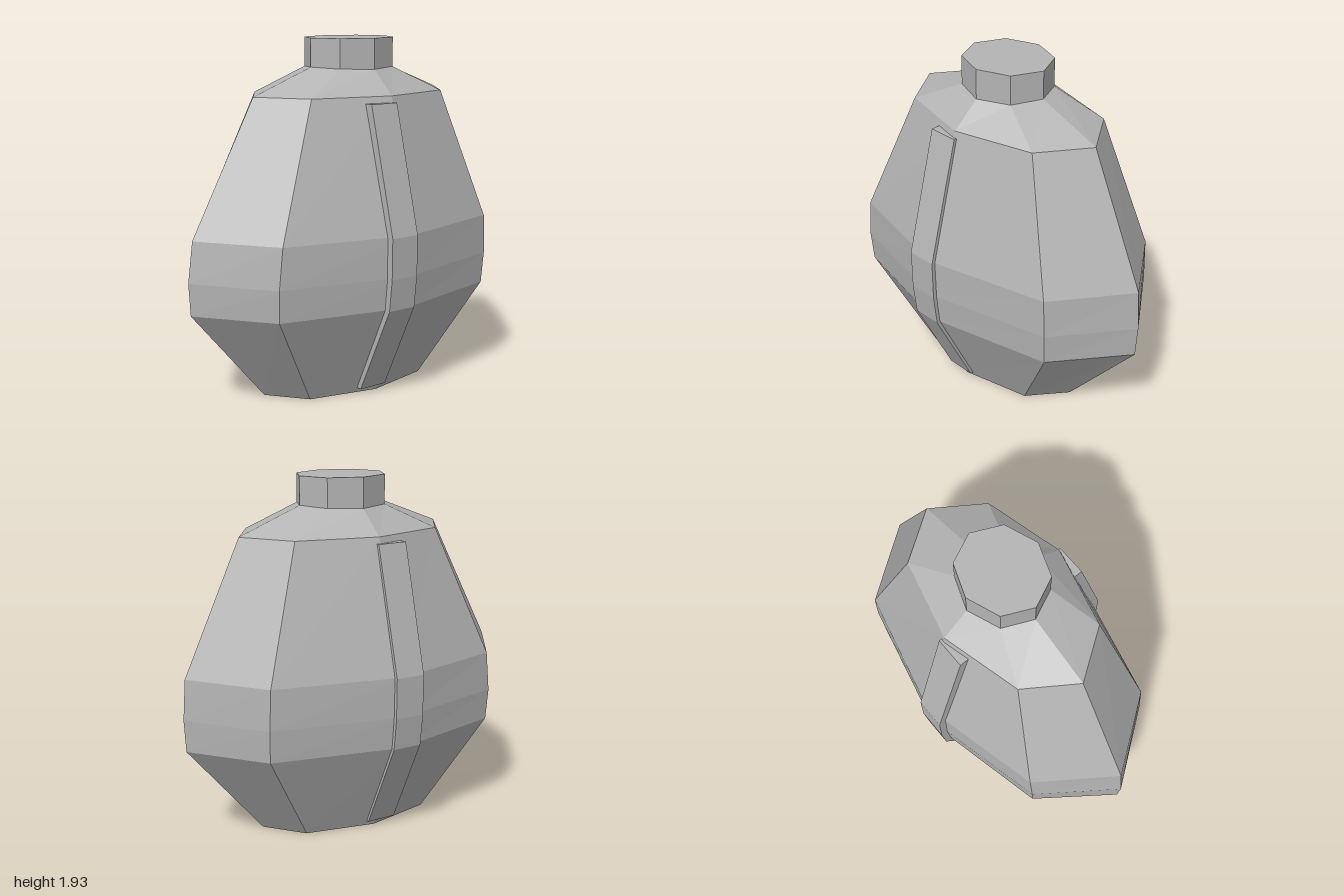
import * as THREE from 'three';

const SIDES = 8;

// Closed faceted solid from octagonal rings: [y, centreX, radiusX, radiusZ, dip at front and back]
function loft(rings) {
  const pos = [];
  const point = ([y, cx, rx, rz, dip = 0], i) => {
    const a = (i % SIDES) * Math.PI * 2 / SIDES;
    return [cx + rx * Math.sin(a), y - dip * Math.cos(a) ** 2, rz * Math.cos(a)];
  };
  const tri = (...pts) => pts.forEach((p) => pos.push(...p));
  const first = rings[0], last = rings[rings.length - 1];
  for (let i = 0; i < SIDES; i++) {
    for (let r = 0; r < rings.length - 1; r++) {
      const a = point(rings[r], i), b = point(rings[r], i + 1);
      const c = point(rings[r + 1], i + 1), d = point(rings[r + 1], i);
      tri(a, b, c);
      tri(a, c, d);
    }
    tri([first[1], first[0], 0], point(first, i + 1), point(first, i));
    tri([last[1], last[0], 0], point(last, i), point(last, i + 1));
  }
  const geo = new THREE.BufferGeometry();
  geo.setAttribute('position', new THREE.Float32BufferAttribute(pos, 3));
  geo.computeVertexNormals();
  return geo;
}

export function createModel() {
  const grey = new THREE.MeshStandardMaterial({ color: 0xb4b4b4, flatShading: true });
  grey.name = 'plain grey';
  const group = new THREE.Group();
  group.name = 'flask';

  const add = (name, geo) => {
    const mesh = new THREE.Mesh(geo, grey);
    mesh.name = name;
    group.add(mesh);
    return mesh;
  };

  // Flattened vessel with a slightly off-centre shoulder
  add('body', loft([
    [0, 0, 0.545, 0.295],
    [0.525, 0, 0.99, 0.55],
    [0.70, 0, 1.0, 0.568],
    [0.92, 0.007, 0.978, 0.57],
    [1.635, 0.033, 0.622, 0.378],
    [1.775, 0.035, 0.255, 0.228, 0.01],
  ]));

  // Stopper
  add('neck', loft([
    [1.775, 0.035, 0.255, 0.228, 0.01],
    [1.93, 0.035, 0.255, 0.228],
  ]));

  // Flat straps following the front and back profile: [z, y]
  const outer = [[0.315, 0.03], [0.558, 0.525], [0.578, 0.70], [0.58, 0.92], [0.40, 1.6]];
  const inner = outer.map(([z, y]) => [z - 0.1, y]).reverse();
  const profile = new THREE.Shape([...outer, ...inner].map(([z, y]) => new THREE.Vector2(z, y)));
  const width = 0.17;
  for (const side of [1, -1]) {
    const geo = new THREE.ExtrudeGeometry(profile, { depth: width, bevelEnabled: false });
    geo.translate(0, 0, -width / 2);
    geo.rotateY(-side * Math.PI / 2);
    const strap = add(side > 0 ? 'frontStrap' : 'backStrap', geo);
    strap.position.x = -0.035;
  }
  return group;
}
